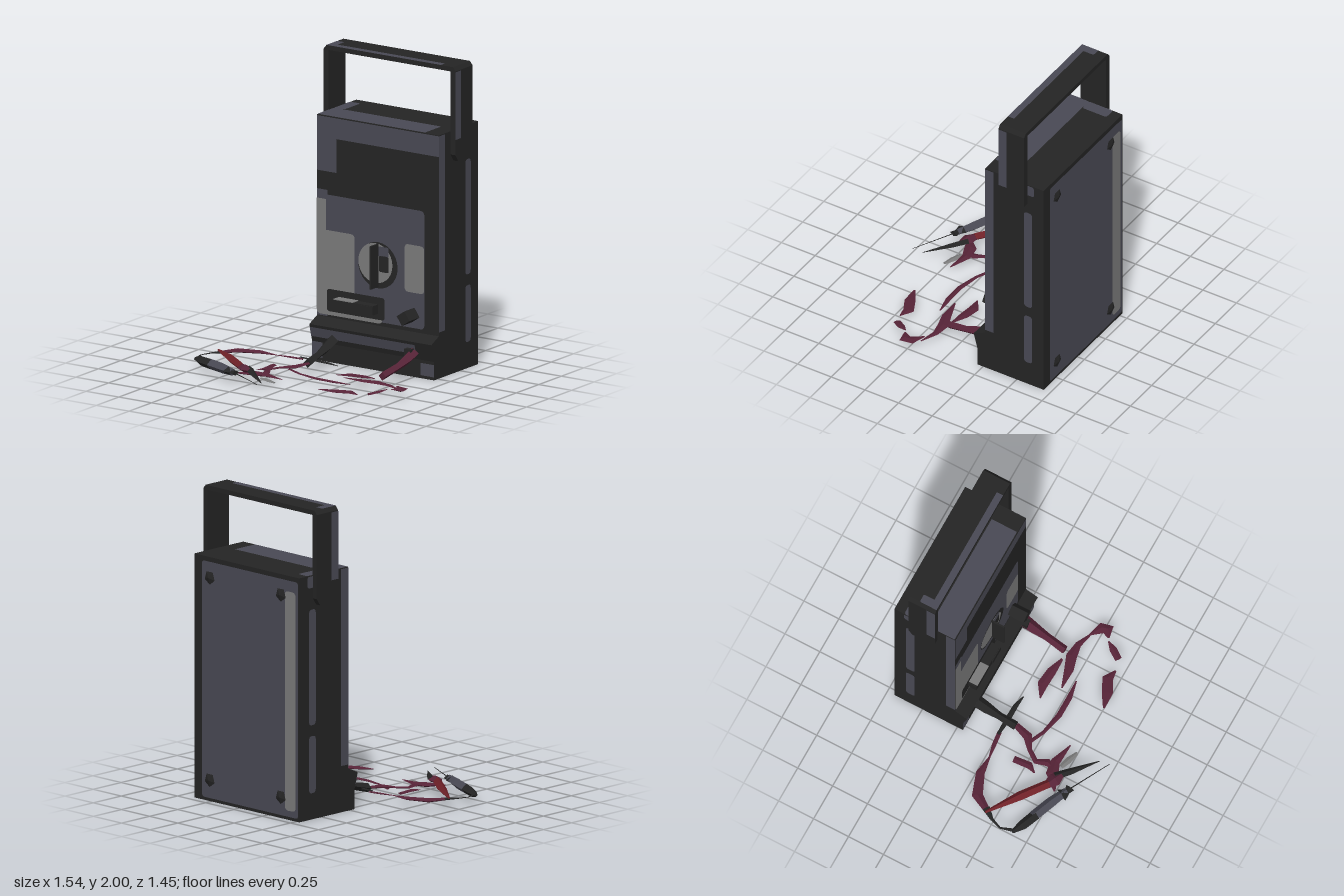
import * as THREE from 'three';

const mat = (name, color, side = THREE.FrontSide) => {
  const m = new THREE.MeshStandardMaterial({ color, side });
  m.name = name;
  m.flatShading = true;
  return m;
};

export function createModel() {
  const black = mat('black', 0x242424, THREE.DoubleSide);
  const slate = mat('slate', 0x494954, THREE.DoubleSide);
  const grey = mat('grey', 0x7a7a7a, THREE.DoubleSide);
  const maroon = mat('maroon', 0x562337, THREE.DoubleSide);
  const red = mat('red', 0x702128, THREE.DoubleSide);

  const root = new THREE.Group();
  root.name = 'meter';

  const add = (name, geometry, material, parent = root) => {
    const m = new THREE.Mesh(geometry, material);
    m.name = name;
    parent.add(m);
    return m;
  };
  const group = (name, pos, rot = [0, 0, 0]) => {
    const g = new THREE.Group();
    g.name = name;
    g.position.set(...pos);
    g.rotation.set(...rot);
    root.add(g);
    return g;
  };
  const box = (name, material, x0, x1, y0, y1, z0, z1) => {
    const m = add(name, new THREE.BoxGeometry(x1 - x0, y1 - y0, z1 - z0), material);
    m.position.set((x0 + x1) / 2, (y0 + y1) / 2, (z0 + z1) / 2);
    return m;
  };
  // Rounded flat plate on a local xy plane; lift orders overlapping plates
  const plate = (parent, name, material, x0, x1, y0, y1, lift = 1, r = 0) => {
    const s = new THREE.Shape();
    if (r) {
      s.moveTo(x0 + r, y0).lineTo(x1 - r, y0).quadraticCurveTo(x1, y0, x1, y0 + r);
      s.lineTo(x1, y1 - r).quadraticCurveTo(x1, y1, x1 - r, y1);
      s.lineTo(x0 + r, y1).quadraticCurveTo(x0, y1, x0, y1 - r);
      s.lineTo(x0, y0 + r).quadraticCurveTo(x0, y0, x0 + r, y0);
    } else {
      s.moveTo(x0, y0).lineTo(x1, y0).lineTo(x1, y1).lineTo(x0, y1);
    }
    add(name, new THREE.ShapeGeometry(s, 4), material, parent).position.z = lift * 0.002;
  };

  // Body: side profile (z, y) swept across the width
  const profile = [[-0.7, 0], [-0.21, 0], [-0.21, 0.12], [-0.18, 0.235], [-0.265, 0.275],
    [-0.265, 1.58], [-0.7, 1.58]];
  const bodyShape = new THREE.Shape(profile.map(([z, y]) => new THREE.Vector2(-z, y)));
  const bodyGeo = new THREE.ExtrudeGeometry(bodyShape, { depth: 0.93, bevelEnabled: false });
  bodyGeo.rotateY(Math.PI / 2).translate(-0.28, 0, 0);
  add('body', bodyGeo, black);

  // Front face colouring
  const front = group('frontPanel', [0, 0, -0.265]);
  plate(front, 'upperPanel', slate, -0.28, 0.65, 1.44, 1.575);
  plate(front, 'upperPanelSide', slate, -0.28, -0.13, 1.22, 1.45);
  plate(front, 'lowerPanel', slate, -0.28, 0.54, 0.3, 1.07, 1, 0.03);
  plate(front, 'panelEdge', slate, -0.28, -0.2, 0.28, 1.1);
  plate(front, 'leftPatch', grey, -0.28, 0.01, 0.34, 0.84, 2, 0.03);
  plate(front, 'leftPatchTop', grey, -0.28, -0.21, 0.8, 1.04, 2);
  plate(front, 'lowerPatch', grey, -0.28, 0.22, 0.29, 0.42, 2, 0.03);
  plate(front, 'rightPatch', grey, 0.39, 0.54, 0.53, 0.84, 2, 0.03);
  plate(front, 'switchPlate', black, -0.2, 0.24, 0.315, 0.46, 3, 0.02);

  // Front foot lip colouring
  const lip = group('lipPanel', [0, 0.12, -0.21], [0.255, 0, 0]);
  plate(lip, 'lipBand', slate, -0.28, 0.52, 0.035, 0.1);
  const base = group('basePanel', [0, 0, -0.21]);
  plate(base, 'baseCorner', slate, -0.28, -0.2, 0.02, 0.12);
  plate(base, 'baseCorner', slate, 0.55, 0.65, 0.02, 0.1);

  // Side, top and back colouring
  for (const s of [1, -1]) {
    const side = group(s > 0 ? 'leftSide' : 'rightSide', [s > 0 ? 0.65 : -0.28, 0, 0], [0, s * Math.PI / 2, 0]);
    const strip = (name, a, b, y0, y1, r) =>
      plate(side, name, slate, Math.min(s * a, s * b), Math.max(s * a, s * b), y0, y1, 1, r);
    strip('frontEdge', 0.265, 0.33, 0.3, 1.575, 0);
    strip('upperGroove', 0.555, 0.615, 0.61, 1.36, 0.025);
    strip('lowerGroove', 0.555, 0.615, 0.17, 0.54, 0.025);
    strip('topPatch', 0.56, 0.63, 1.5, 1.575, 0.02);
  }
  const top = group('topPanel', [0, 1.58, 0], [-Math.PI / 2, 0, 0]);
  plate(top, 'topFront', slate, -0.28, 0.54, 0.27, 0.45);
  plate(top, 'topCorner', slate, -0.28, -0.2, 0.45, 0.63, 1, 0.02);
  const back = group('backPanel', [0, 0, -0.7], [0, Math.PI, 0]);
  plate(back, 'backPlate', slate, -0.58, 0.27, 0.02, 1.55, 1, 0.02);
  plate(back, 'backStrip', grey, 0.155, 0.25, 0.06, 1.48, 2, 0.03);
  for (const x of [-0.505, 0.125]) for (const y of [0.14, 1.45]) {
    const foot = add('backFoot', new THREE.ConeGeometry(0.046, 0.014, 5), black, back);
    foot.rotation.x = Math.PI / 2;
    foot.position.set(x, y, 0.017);
  }

  // Carrying handle: U-shaped strap with tapered ends
  const strap = new THREE.Shape([[-0.315, 1.43], [-0.315, 1.975], [-0.295, 2], [0.67, 2], [0.69, 1.975], [0.69, 1.43],
    [0.653, 1.43], [0.653, 1.97], [-0.278, 1.97], [-0.278, 1.43]].map(p => new THREE.Vector2(...p)));
  const strapGeo = new THREE.ExtrudeGeometry(strap, { depth: 0.19, bevelEnabled: false });
  add('handle', strapGeo, black).position.z = -0.58;
  for (const x of [-0.2965, 0.6715]) {
    const g = new THREE.BoxGeometry(0.037, 0.045, 0.19);
    const p = g.attributes.position;
    for (let i = 0; i < p.count; i++) if (p.getY(i) < 0) p.setZ(i, p.getZ(i) * 0.68);
    g.computeVertexNormals();
    add('handleEnd', g, black).position.set(x, 1.4075, -0.485);
  }
  const handleTop = group('handleTop', [0, 1.999, 0], [-Math.PI / 2, 0, 0]);
  plate(handleTop, 'handleTopEdge', slate, -0.295, 0.58, 0.39, 0.435);
  plate(handleTop, 'handleTopPatch', slate, -0.295, -0.24, 0.42, 0.51, 1, 0.01);
  for (const s of [1, -1]) {
    const g = group('handleSide', [s > 0 ? 0.69 : -0.315, 0, 0], [0, s * Math.PI / 2, 0]);
    plate(g, 'handleSideEdge', slate, s > 0 ? 0.39 : -0.45, s > 0 ? 0.45 : -0.39, 1.53, 1.97);
  }

  // Rotary dial: painted disc with an upright grip
  const dial = group('dial', [0.19, 0.67, -0.257]);
  add('dialRing', new THREE.CircleGeometry(0.15, 28), black, dial);
  add('dialFace', new THREE.CircleGeometry(0.13, 28), grey, dial).position.set(-0.018, 0.012, 0.002);
  plate(dial, 'dialShade', slate, 0.0, 0.085, 0.06, 0.125, 2, 0.015);
  plate(dial, 'dialDark', black, 0.01, 0.085, -0.04, 0.065, 2, 0.015);
  box('dialGrip', black, 0.184, 0.196, 0.53, 0.81, -0.262, -0.17);

  // Slide switch and small selector
  box('switchBody', black, -0.12, 0.19, 0.355, 0.415, -0.265, -0.2);
  box('switchSlider', black, 0.085, 0.19, 0.36, 0.41, -0.21, -0.194);
  box('switchTop', grey, -0.11, 0.04, 0.414, 0.419, -0.26, -0.198);
  const selector = box('selector', black, 0.42, 0.49, 0.35, 0.42, -0.265, -0.15);
  selector.rotation.z = 0.6;

  // Tapered faceted strand through [x, z, halfWidth] points, height eased from y0 to y1
  const strand = (name, material, y0, y1, pts, flat = 0.4) => {
    const pos = [], idx = [], n = pts.length;
    pts.forEach(([x, z, w], i) => {
      const a = pts[Math.max(i - 1, 0)], b = pts[Math.min(i + 1, n - 1)];
      const dx = b[0] - a[0], dz = b[1] - a[1], l = Math.hypot(dx, dz);
      const nx = -dz / l * w, nz = dx / l * w, y = y0 + (y1 - y0) * i / (n - 1), h = w * flat;
      pos.push(x + nx, y, z + nz, x, y + h, z, x - nx, y, z - nz, x, y - h, z);
      if (i) for (let k = 0; k < 4; k++) {
        const p = (i - 1) * 4 + k, q = (i - 1) * 4 + (k + 1) % 4;
        idx.push(p, p + 4, q, q, p + 4, q + 4);
      }
    });
    idx.push(0, 1, 2, 0, 2, 3);
    const e = (n - 1) * 4;
    idx.push(e, e + 2, e + 1, e, e + 3, e + 2);
    const g = new THREE.BufferGeometry();
    g.setAttribute('position', new THREE.Float32BufferAttribute(pos, 3));
    g.setIndex(idx);
    g.computeVertexNormals();
    add(name, g, material);
  };

  // Plugs
  strand('blackPlug', black, 0.15, 0.06, [[-0.115, -0.2, 0.042], [-0.115, -0.13, 0.038], [-0.115, -0.04, 0.025], [-0.115, 0.08, 0.03]], 1);
  strand('redPlug', maroon, 0.16, 0.07, [[0.5, -0.2, 0.042], [0.495, -0.13, 0.038], [0.49, -0.03, 0.026], [0.475, 0.11, 0.028]], 1);
  box('redPlugSocket', black, 0.46, 0.51, 0.13, 0.19, -0.21, -0.155);

  // Red lead on the left
  strand('redLead', maroon, 0.03, 0.05, [[0.13, 0.12, 0.004], [0.22, 0.09, 0.034], [0.32, 0.1, 0.03], [0.42, 0.12, 0.008]], 0.3);
  strand('redLead', maroon, 0.05, 0.03, [[0.25, 0.21, 0.005], [0.38, 0.19, 0.03], [0.47, 0.16, 0.035], [0.56, 0.16, 0.02], [0.67, 0.2, 0.004]], 0.3);
  strand('redLead', maroon, 0.05, 0.06, [[0.64, 0.19, 0.004], [0.72, 0.24, 0.036], [0.73, 0.28, 0.04], [0.68, 0.31, 0.006]], 0.3);
  strand('redLead', maroon, 0.06, 0.04, [[0.66, 0.32, 0.004], [0.63, 0.37, 0.024], [0.59, 0.43, 0.022]], 0.3);
  strand('redLead', maroon, 0.04, 0.03, [[0.26, 0.505, 0.006], [0.36, 0.475, 0.035], [0.45, 0.43, 0.035], [0.52, 0.45, 0.004]], 0.3);

  // Leads on the right
  strand('thinLead', maroon, 0.03, 0.04, [[0.34, 0.265, 0.004], [0.22, 0.28, 0.018], [0.08, 0.28, 0.018], [-0.06, 0.25, 0.012], [-0.17, 0.2, 0.012]]);
  strand('thinLead', maroon, 0.06, 0.04, [[-0.11, 0.08, 0.02], [-0.14, 0.18, 0.03], [-0.21, 0.23, 0.015], [-0.26, 0.3, 0.018], [-0.23, 0.37, 0.025], [-0.25, 0.45, 0.008]]);
  strand('thinLead', maroon, 0.04, 0.04, [[-0.31, 0.17, 0.022], [-0.3, 0.28, 0.024], [-0.33, 0.33, 0.004]]);
  strand('thinLead', maroon, 0.05, 0.04, [[-0.38, 0.5, 0.006], [-0.28, 0.43, 0.04], [-0.2, 0.41, 0.03], [-0.06, 0.44, 0.004]]);
  strand('greyScrap', grey, 0.03, 0.03, [[-0.21, 0.455, 0.015], [-0.15, 0.475, 0.022], [-0.08, 0.5, 0.01]]);
  strand('blackLead', black, 0.07, 0.06, [[-0.22, 0.01, 0.01], [-0.1, 0.015, 0.018], [0, 0.015, 0.016], [0.08, 0.028, 0.004]]);
  strand('redLoop', maroon, 0.07, 0.06, [[-0.7, 0.19, 0.02], [-0.64, 0.09, 0.035], [-0.5, 0.035, 0.028], [-0.38, 0.035, 0.006], [-0.29, 0.02, 0.014], [-0.2, 0.01, 0.014]]);
  strand('blackLoop', black, 0.07, 0.07, [[-0.69, 0.18, 0.025], [-0.74, 0.25, 0.01], [-0.765, 0.32, 0.006], [-0.74, 0.4, 0.012]]);

  // Test probes
  strand('redProbe', red, 0.08, 0.08, [[-0.72, 0.19, 0.008], [-0.52, 0.33, 0.03], [-0.36, 0.45, 0.028]], 1);
  strand('redProbeCollar', maroon, 0.08, 0.08, [[-0.38, 0.44, 0.025], [-0.32, 0.47, 0.045], [-0.27, 0.49, 0.022]], 0.6);
  strand('redProbeTip', black, 0.08, 0.06, [[-0.3, 0.46, 0.026], [-0.22, 0.53, 0.022], [-0.07, 0.655, 0.002]], 0.8);
  strand('blackProbe', black, 0.065, 0.07, [[-0.75, 0.4, 0.012], [-0.68, 0.435, 0.032], [-0.58, 0.475, 0.034]], 1);
  strand('blackProbeGrip', slate, 0.07, 0.075, [[-0.6, 0.465, 0.034], [-0.46, 0.52, 0.034], [-0.35, 0.57, 0.024]], 1);
  strand('blackProbeCollar', black, 0.075, 0.075, [[-0.39, 0.555, 0.045], [-0.35, 0.575, 0.02], [-0.32, 0.58, 0.03]], 0.6);
  strand('blackProbeNeedle', black, 0.075, 0.07, [[-0.34, 0.575, 0.004], [-0.06, 0.722, 0.002]], 1);

  return root;
}
